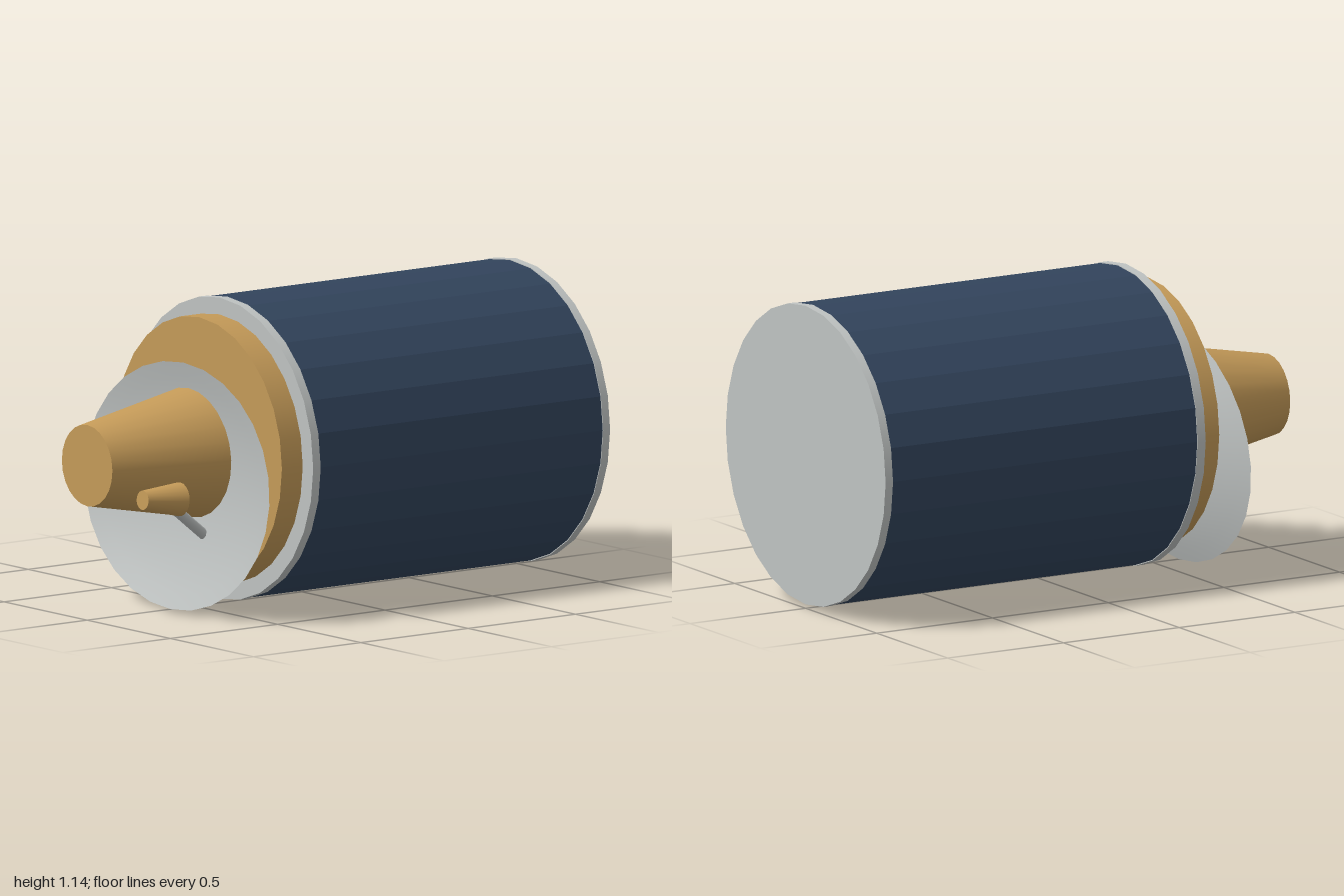
import * as THREE from 'three';

const AXIS_Y = 0.583; // height of the main axis

export function createModel() {
  const model = new THREE.Group();
  const material = (name, color, extra = {}) => {
    const m = new THREE.MeshStandardMaterial({ color, ...extra });
    m.name = name;
    return m;
  };
  const blue = material('dark blue', 0x32445c, { flatShading: true });
  const gold = material('gold', 0xc49a58);
  const silver = material('silver', 0xbfc3c2, { side: THREE.DoubleSide });

  function add(name, geometry, mat) {
    const mesh = new THREE.Mesh(geometry, mat);
    mesh.name = name;
    model.add(mesh);
    return mesh;
  }

  // Round section lying along z on the main axis
  function drum(name, z0, z1, r0, r1, mat, sides) {
    const g = new THREE.CylinderGeometry(r1, r0, z1 - z0, sides);
    g.rotateX(Math.PI / 2);
    g.translate(0, AXIS_Y, (z0 + z1) / 2);
    return add(name, g, mat);
  }

  // Round section running between two points
  function between(name, a, b, ra, rb, mat, sides) {
    const from = new THREE.Vector3(...a);
    const to = new THREE.Vector3(...b);
    const dir = to.clone().sub(from);
    const mesh = add(name, new THREE.CylinderGeometry(rb, ra, dir.length(), sides), mat);
    mesh.position.copy(from).add(to).multiplyScalar(0.5);
    mesh.quaternion.setFromUnitVectors(new THREE.Vector3(0, 1, 0), dir.normalize());
    return mesh;
  }

  // Body with a rim at each end
  drum('body', -0.97, 0.35, 0.56, 0.56, blue, 28);
  drum('rearRim', -1, -0.968, 0.563, 0.563, silver, 28);
  drum('frontRim', 0.348, 0.383, 0.563, 0.563, silver, 28);

  // Front collar and tapered nose
  drum('collar', 0.383, 0.48, 0.5, 0.5, gold, 28);
  drum('nose', 0.48, 1, 0.25, 0.152, gold, 24);

  // Shallow oval dish, tipped slightly upwards
  const profile = [];
  for (let i = 0; i <= 8; i++) {
    const t = i / 8;
    profile.push(new THREE.Vector2(0.556 * t, 0.078 * (t * t - 1)));
  }
  const dishGeometry = new THREE.LatheGeometry(profile, 28);
  dishGeometry.rotateX(Math.PI / 2);
  dishGeometry.scale(1, 0.825, 1);
  const dish = add('dish', dishGeometry, silver);
  dish.position.set(0, 0.463, 0.582);
  dish.rotation.x = -0.066;

  // Feed horn on its strut
  between('feedHorn', [0.235, 0.463, 0.753], [0.234, 0.477, 0.923], 0.063, 0.036, gold, 20);
  between('feedStrut', [0.052, 0.25, 0.46], [0.228, 0.456, 0.805], 0.02, 0.02, silver, 8);

  return model;
}
